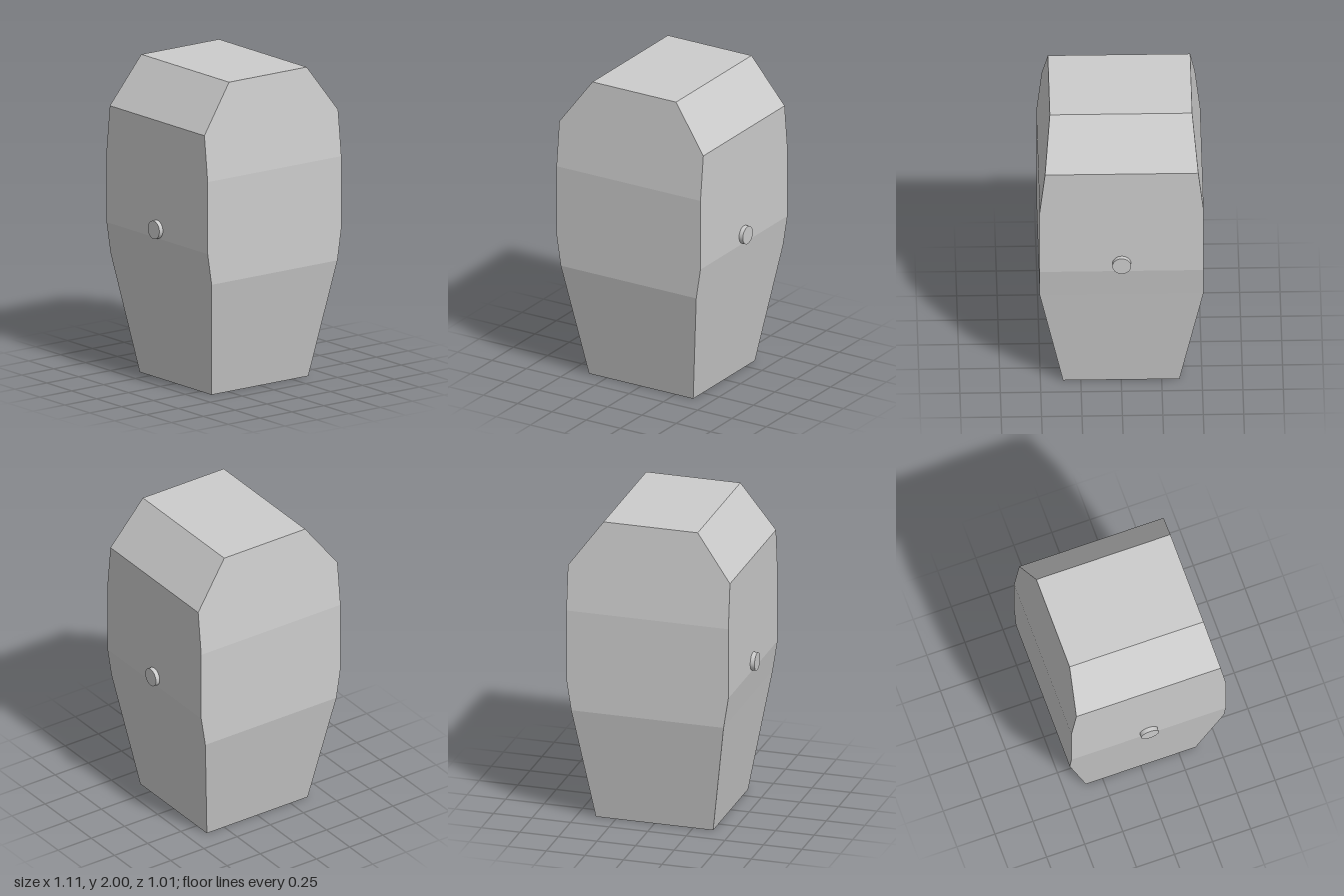
import * as THREE from 'three';

const RECESS_RADIUS = 0.32;
const RECESS_DEPTH = 0.04;

// Rectangular cross-sections from bottom to top: [y, half width, half depth]
const SECTIONS = [
  [0, 0.38, 0.36],
  [0.75, 0.494, 0.507],
  [0.95, 0.525, 0.507],
  [1.41, 0.525, 0.507],
  [1.7, 0.525, 0.474],
  [2, 0.305, 0.44],
];

// Skins the stacked rectangles and closes the top
function shellGeometry() {
  const rings = SECTIONS.map(([y, w, d]) => [[-w, y, d], [w, y, d], [w, y, -d], [-w, y, -d]]);
  const positions = [];
  const quad = (a, b, c, d) => positions.push(...a, ...b, ...c, ...a, ...c, ...d);
  for (let i = 0; i < rings.length - 1; i++) {
    for (let j = 0; j < 4; j++) {
      const k = (j + 1) % 4;
      quad(rings[i][j], rings[i][k], rings[i + 1][k], rings[i + 1][j]);
    }
  }
  quad(...rings[rings.length - 1]);
  const geometry = new THREE.BufferGeometry();
  geometry.setAttribute('position', new THREE.Float32BufferAttribute(positions, 3));
  geometry.computeVertexNormals();
  return geometry;
}

// Flat base with a round opening, facing down
function baseGeometry() {
  const [, w, d] = SECTIONS[0];
  const shape = new THREE.Shape();
  shape.moveTo(-w, -d).lineTo(w, -d).lineTo(w, d).lineTo(-w, d).closePath();
  shape.holes.push(new THREE.Path().absarc(0, 0, RECESS_RADIUS, 0, Math.PI * 2, true));
  return new THREE.ShapeGeometry(shape, 32).rotateX(Math.PI / 2);
}

export function createModel() {
  const model = new THREE.Group();
  const flat = new THREE.MeshStandardMaterial({ color: 0xcccccc, flatShading: true });
  const smooth = new THREE.MeshStandardMaterial({ color: 0xcccccc });
  const inside = new THREE.MeshStandardMaterial({ color: 0xcccccc, side: THREE.DoubleSide });

  const add = (name, geometry, material) => {
    const mesh = new THREE.Mesh(geometry, material);
    mesh.name = name;
    model.add(mesh);
    return mesh;
  };

  add('body', shellGeometry(), flat);
  add('base', baseGeometry(), flat);

  // Shallow round recess in the base
  const wall = new THREE.CylinderGeometry(RECESS_RADIUS, RECESS_RADIUS, RECESS_DEPTH, 64, 1, true);
  add('recessWall', wall.translate(0, RECESS_DEPTH / 2, 0), inside);
  const ceiling = new THREE.CircleGeometry(RECESS_RADIUS, 64).rotateX(Math.PI / 2);
  add('recessCeiling', ceiling.translate(0, RECESS_DEPTH, 0), flat);

  // Round stud on each side
  for (const [name, side] of [['leftStud', 1], ['rightStud', -1]]) {
    const stud = add(name, new THREE.CylinderGeometry(0.058, 0.058, 0.055, 32), smooth);
    stud.rotation.z = Math.PI / 2;
    stud.position.set(side * 0.5255, 1.007, 0);
  }

  return model;
}
